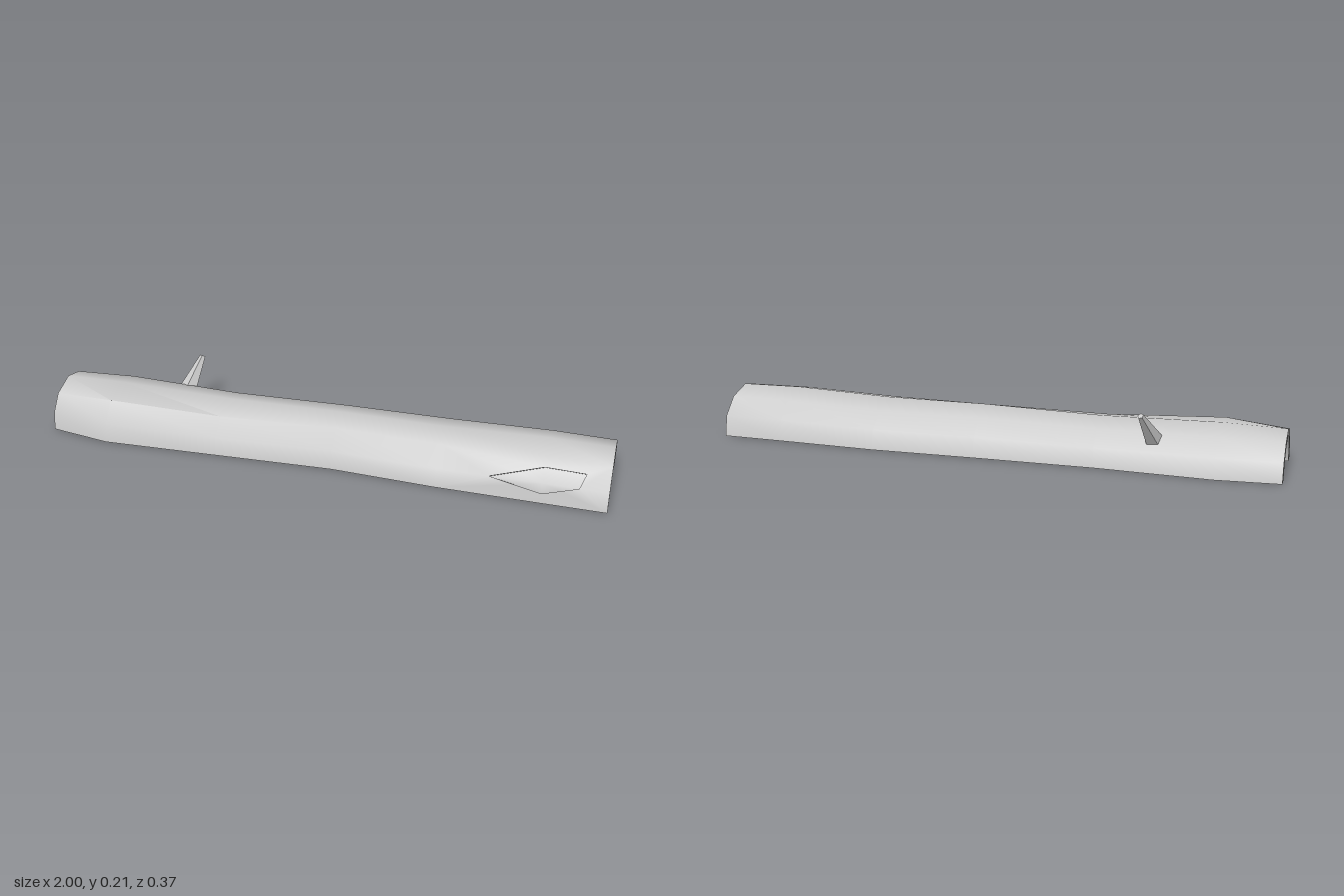
import * as THREE from 'three';
import { toCreasedNormals } from 'three/addons/utils/BufferGeometryUtils.js';

// Stations along the log: x, back edge z, front edge z, crown height, front shoulder z and y
const STATIONS = [
  [-1.0, -0.148, 0.15, 0.146, 0.095, 0.121],
  [-0.78, -0.168, 0.186, 0.151, 0.12, 0.137],
  [-0.37, -0.156, 0.168, 0.142, 0.1, 0.121],
  [0.05, -0.165, 0.149, 0.15, 0.08, 0.128],
  [0.42, -0.177, 0.166, 0.148, 0.09, 0.127],
  [0.78, -0.17, 0.169, 0.16, 0.092, 0.137],
  [1.0, -0.168, 0.17, 0.156, 0.092, 0.133],
];

// Closed ring: outer arch from back to front, then inner arch from front to back
function ring([x, zb, zf, h, zs, ys]) {
  const outer = [
    [zb, 0], [zb * 0.91, h * 0.47], [zb * 0.55, h * 0.84], [0.003, h],
    [zs, ys], [zf * 0.93, h * 0.45], [zf, 0],
  ].map(([z, y]) => new THREE.Vector3(x, y, z));
  const c = (zb + zf) / 2;
  const inner = outer.map((p) => new THREE.Vector3(x, p.y * 0.83, c + (p.z - c) * 0.73));
  return [...outer, ...inner.reverse()];
}

function logGeometry() {
  const pos = [];
  const tri = (...pts) => pts.forEach((p) => pos.push(p.x, p.y, p.z));
  const quad = (a, b, c, d) => { tri(a, b, c); tri(a, c, d); };
  const rings = STATIONS.map(ring);
  const n = rings[0].length;
  const last = rings.length - 1;
  const HI = 5, HJ = 5; // grid point at the middle of the knot hole

  // Outer bark, inner hollow and bottom edges, leaving out the cells around the knot hole
  for (let i = 0; i < last; i++) {
    for (let j = 0; j < n; j++) {
      if ((i === HI - 1 || i === HI) && (j === HJ - 1 || j === HJ)) continue;
      const k = (j + 1) % n;
      quad(rings[i][j], rings[i][k], rings[i + 1][k], rings[i + 1][j]);
    }
  }

  // End faces
  for (let j = 0; j < n / 2 - 1; j++) {
    const face = (r) => [r[j], r[j + 1], r[n - 2 - j], r[n - 1 - j]];
    quad(...face(rings[last]));
    quad(...face(rings[0]).reverse());
  }

  // Knot hole: four cells trimmed around a shared point (right, up, left, down)
  const mid = rings[HI][HJ];
  const steps = [[1, 0, 0.55], [0, -1, 0.6], [-1, 0, 0.5], [0, 1, 0.52]];
  const ends = steps.map(([di, dj]) => rings[HI + di][HJ + dj]);
  const cuts = steps.map(([, , t], k) => mid.clone().lerp(ends[k], t));
  const rim = [];
  for (let k = 0; k < 4; k++) {
    const m = (k + 1) % 4;
    const corner = rings[HI + steps[k][0] + steps[m][0]][HJ + steps[k][1] + steps[m][1]];
    const between = k === 0
      ? mid.clone().lerp(ends[0], 0.63).add(ends[1].clone().sub(mid).multiplyScalar(0.57))
      : cuts[k].clone().lerp(cuts[m], 0.5);
    tri(corner, ends[m], cuts[m]);
    tri(corner, cuts[m], between);
    tri(corner, between, cuts[k]);
    tri(corner, cuts[k], ends[k]);
    rim.push(cuts[k], between);
  }

  // Walls and floor of the knot hole
  const sink = new THREE.Vector3(0, -0.013, -0.02);
  const floor = rim.map((p) => p.clone().add(sink));
  const floorMid = mid.clone().add(sink);
  rim.forEach((p, k) => {
    const m = (k + 1) % rim.length;
    quad(p, rim[m], floor[m], floor[k]);
    tri(floorMid, floor[k], floor[m]);
  });

  const g = new THREE.BufferGeometry();
  g.setAttribute('position', new THREE.Float32BufferAttribute(pos, 3));
  return toCreasedNormals(g, THREE.MathUtils.degToRad(38));
}

// Short tapered twig standing between two points
function twig(from, to, rFrom, rTo) {
  const dir = to.clone().sub(from);
  const mesh = new THREE.Mesh(
    new THREE.CylinderGeometry(rTo, rFrom, dir.length(), 5),
    new THREE.MeshStandardMaterial({ color: 0xcccccc, flatShading: true }),
  );
  mesh.position.copy(from).lerp(to, 0.5);
  mesh.quaternion.setFromUnitVectors(new THREE.Vector3(0, 1, 0), dir.normalize());
  return mesh;
}

export function createModel() {
  const group = new THREE.Group();
  group.name = 'hollowHalfLog';

  const log = new THREE.Mesh(logGeometry(), new THREE.MeshStandardMaterial({ color: 0xcccccc }));
  log.name = 'logShell';

  const branch = twig(
    new THREE.Vector3(-0.565, 0.102, -0.1), new THREE.Vector3(-0.534, 0.202, -0.18), 0.033, 0.011);
  branch.name = 'branchStub';

  group.add(log, branch);
  return group;
}
